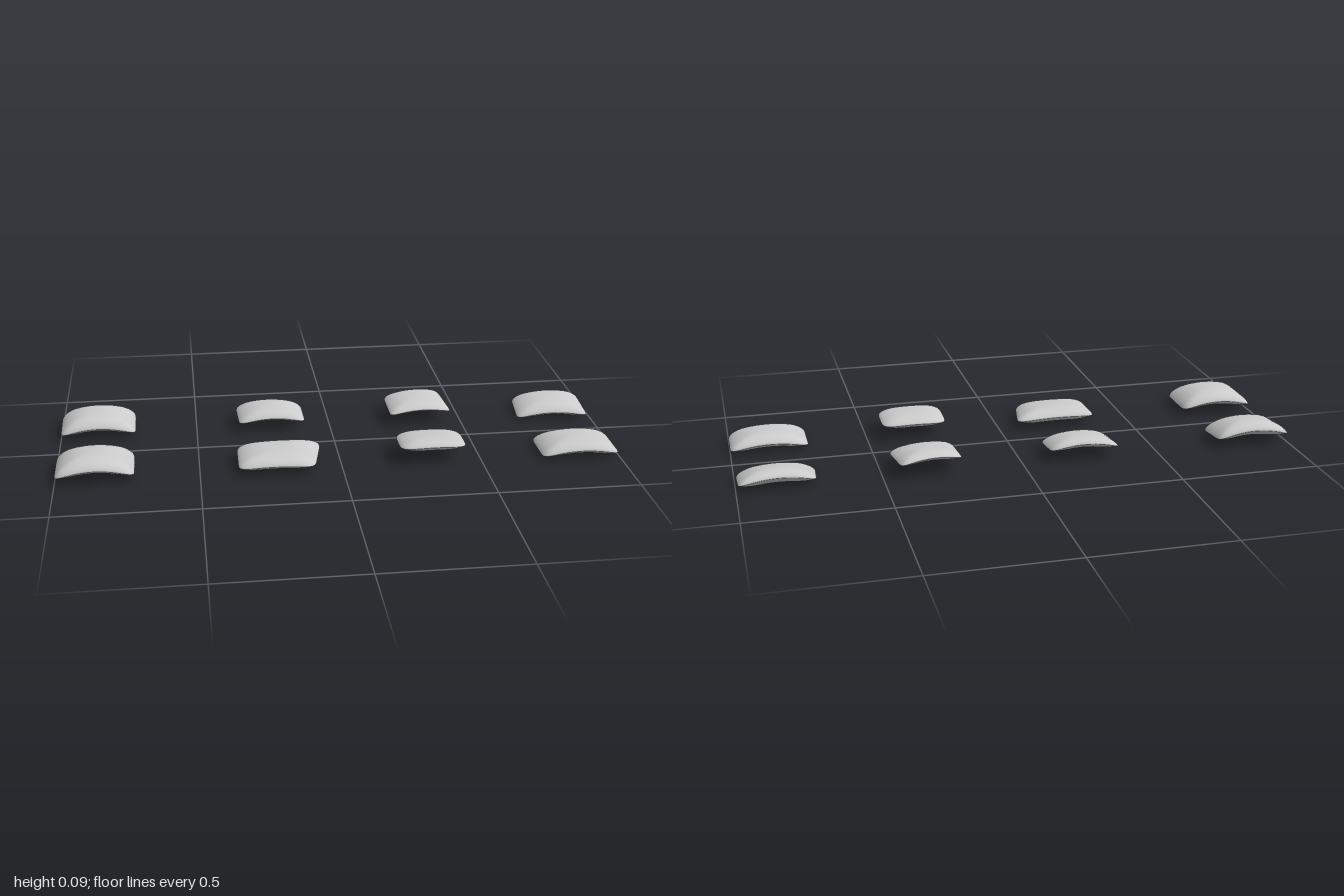
import * as THREE from 'three';

const material = new THREE.MeshStandardMaterial({ color: 0xcccccc });
const SEGMENTS = 56, RINGS = 9;

// Each pad: corners [x, z] (back-left, back-right, front-right, front-left in plan),
// rim height at its ends, arch of the rim, upper bulge, lower belly, tilt from back to front,
// and the exponent that squares off its outline.
const pads = [
  { name: 'frontPad1', c: [[-1, .08], [-.725, .08], [-.725, .278], [-1, .28]], rim: .034, arch: .026, bulge: .036, belly: .032, tilt: 0, n: 9 },
  { name: 'frontPad2', c: [[-.365, .088], [-.06, .083], [-.1, .28], [-.367, .275]], rim: .038, arch: .008, bulge: .03, belly: .034, tilt: -.004, n: 8 },
  { name: 'frontPad3', c: [[.207, .09], [.445, .092], [.445, .257], [.207, .258]], rim: .066, arch: .006, bulge: .023, belly: .031, tilt: .004, n: 5 },
  { name: 'frontPad4', c: [[.718, .09], [1, .086], [1, .27], [.718, .272]], rim: .02, arch: .02, bulge: .03, belly: .031, tilt: 0, n: 9 },
  { name: 'backPad1', c: [[-1, -.275], [-.725, -.275], [-.725, -.105], [-1, -.105]], rim: .036, arch: .026, bulge: .033, belly: .032, tilt: -.008, n: 9 },
  { name: 'backPad2', c: [[-.35, -.266], [-.1, -.257], [-.095, -.112], [-.342, -.112]], rim: .046, arch: .02, bulge: .024, belly: .026, tilt: -.006, n: 8 },
  { name: 'backPad3', c: [[.222, -.265], [.442, -.296], [.462, -.118], [.226, -.1]], rim: .058, arch: .016, bulge: .022, belly: .026, tilt: -.006, n: 10 },
  { name: 'backPad4', c: [[.728, -.264], [.992, -.272], [.995, -.106], [.718, -.11]], rim: .023, arch: .02, bulge: .027, belly: .031, tilt: -.011, n: 9 },
];

// Point on a pad: u, v run from -1 to 1 over its plan, r is the ring radius, side is 1 above and -1 below
function padPoint(p, u, v, r, side) {
  const [a, b, c, d] = p.c;
  const s = (u + 1) / 2, t = (v + 1) / 2;
  const mix = k => (a[k] * (1 - s) + b[k] * s) * (1 - t) + (d[k] * (1 - s) + c[k] * s) * t;
  const dome = side > 0
    ? p.bulge * Math.pow(1 - r ** 3, 0.65)
    : -p.belly * Math.pow(1 - r ** 2.5, 0.9);
  return [mix(0), p.rim + p.arch * (1 - u * u) + dome + p.tilt * v, mix(1)];
}

// Closed cushion made of squared-off rings: from the top centre out to the rim, then in underneath
function padGeometry(p) {
  const positions = [], index = [];
  const power = x => Math.sign(x) * Math.pow(Math.abs(x), 2 / p.n);
  const rows = [];
  for (let i = 1; i <= RINGS; i++) rows.push([Math.sin((i / RINGS) * Math.PI / 2), 1]);
  for (let i = RINGS - 1; i >= 1; i--) rows.push([Math.sin((i / RINGS) * Math.PI / 2), -1]);

  positions.push(...padPoint(p, 0, 0, 0, 1));
  for (const [r, side] of rows) {
    for (let j = 0; j < SEGMENTS; j++) {
      // Even steps round a square, pulled in to a rounded outline
      const q = (j / SEGMENTS) * 4, k = Math.floor(q), f = (q - k) * 2 - 1;
      const [x, z] = [[f, -1], [1, f], [-f, 1], [-1, -f]][k];
      const len = Math.pow(Math.abs(x) ** p.n + Math.abs(z) ** p.n, 1 / p.n);
      positions.push(...padPoint(p, r * x / len, r * z / len, r, side));
    }
  }
  positions.push(...padPoint(p, 0, 0, 0, -1));

  const last = 1 + rows.length * SEGMENTS;
  for (let j = 0; j < SEGMENTS; j++) {
    const n = (j + 1) % SEGMENTS;
    index.push(0, 1 + n, 1 + j);
    for (let i = 0; i < rows.length - 1; i++) {
      const a = 1 + i * SEGMENTS, b = a + SEGMENTS;
      index.push(a + j, a + n, b + j, a + n, b + n, b + j);
    }
    index.push(last, last - SEGMENTS + j, last - SEGMENTS + n);
  }
  const g = new THREE.BufferGeometry();
  g.setAttribute('position', new THREE.Float32BufferAttribute(positions, 3));
  g.setIndex(index);
  g.computeVertexNormals();
  return g;
}

export function createModel() {
  const group = new THREE.Group();
  group.name = 'padSet';
  for (const p of pads) {
    const mesh = new THREE.Mesh(padGeometry(p), material);
    mesh.name = p.name;
    group.add(mesh);
  }
  // Rest the lowest pad on the ground
  group.position.y = -new THREE.Box3().setFromObject(group).min.y;
  return group;
}
